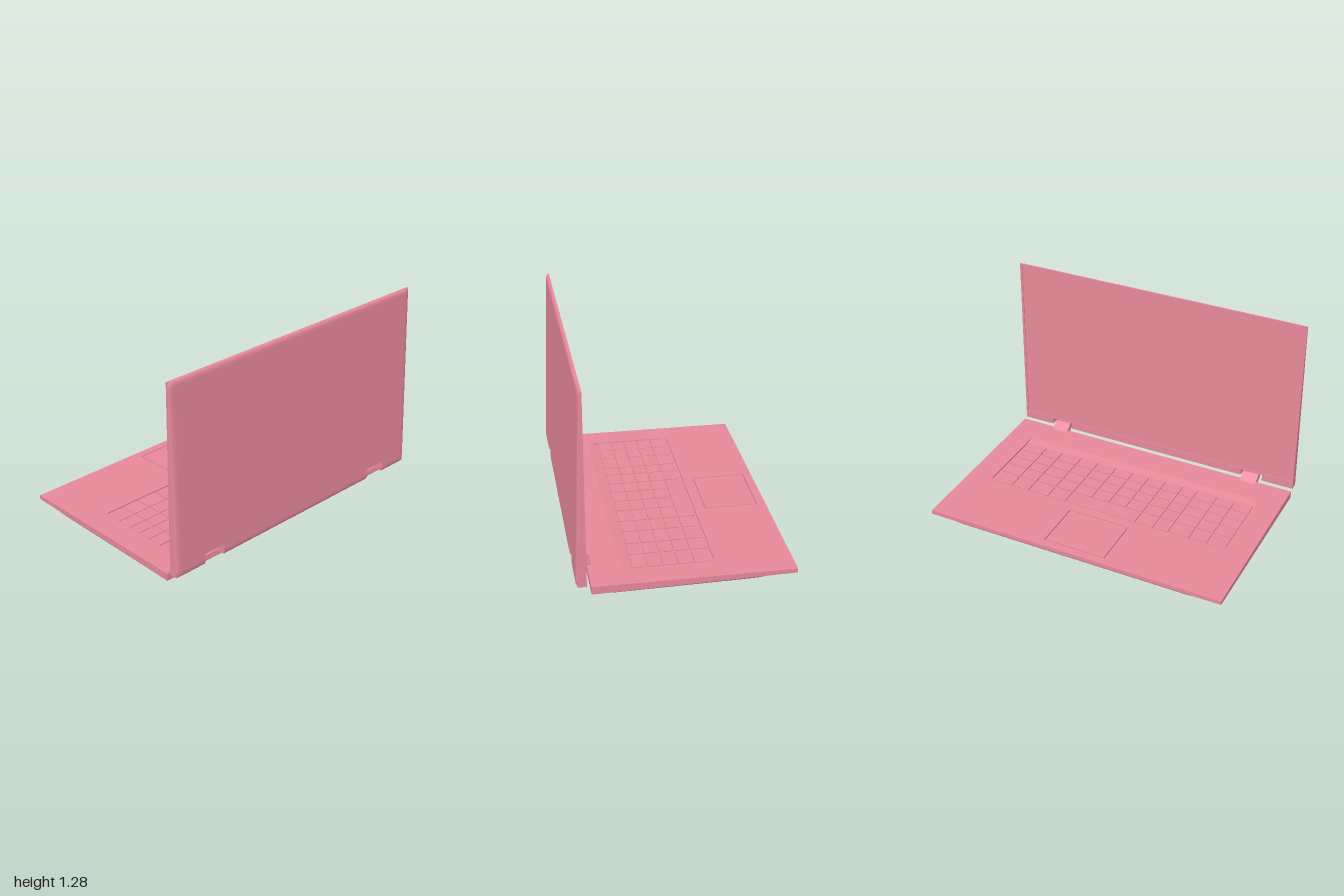
import * as THREE from 'three';

const material = new THREE.MeshStandardMaterial({ color: 0xe8899a, roughness: 0.7 });
const TOP = 0.07, FLOOR = 0.058;                  // deck surface, bottom of its recesses
const NOTCH = [0.635, 0.785], LID_BOTTOM = 0.075, LID_TOP = 1.28, SCREEN_Z = 0.59;

const lerp = THREE.MathUtils.lerp;
const near = (d, r) => Math.max(0, 1 - d / r);    // 1 on the edge, 0 beyond r
const round = (a, b) => 1 - Math.sqrt(Math.max(0, 1 - a * a - b * b));

function add(parent, name, geometry) {
  const mesh = new THREE.Mesh(geometry, material);
  mesh.name = name;
  parent.add(mesh);
  return mesh;
}

// Box between two corners whose vertices are then moved by a rule;
// grid lines bunch up toward the edges so roundings stay smooth
function shapedBox(min, max, segments, rule) {
  const g = new THREE.BoxGeometry(2, 2, 2, ...segments);
  const p = g.attributes.position, v = new THREE.Vector3();
  for (let i = 0; i < p.count; i++) {
    v.fromBufferAttribute(p, i);
    const c = v.toArray().map((u, k) => lerp(min[k], max[k], (Math.sin(u * Math.PI / 2) + 1) / 2));
    p.setXYZ(i, ...rule(c));
  }
  g.computeVertexNormals();
  return g;
}

const rect = (C, x0, x1, y0, y1) => new C([[x0, y0], [x1, y0], [x1, y1], [x0, y1]].map(a => new THREE.Vector2(...a)));

function roundedRect(x0, x1, y0, y1, r) {
  const s = new THREE.Path();
  s.absarc(x1 - r, y1 - r, r, 0, Math.PI / 2);
  s.absarc(x0 + r, y1 - r, r, Math.PI / 2, Math.PI);
  s.absarc(x0 + r, y0 + r, r, Math.PI, Math.PI * 1.5);
  s.absarc(x1 - r, y0 + r, r, Math.PI * 1.5, Math.PI * 2);
  s.closePath();
  return s;
}

// Flat plate from an x/z outline, extruded downward from y
function plate(shape, y, depth) {
  return new THREE.ExtrudeGeometry(shape, { depth, bevelEnabled: false, curveSegments: 6 })
    .rotateX(Math.PI / 2).translate(0, y, 0);
}

// Prism with a z/y section, running from x0 to x1
function prism(points, x0, x1) {
  const shape = new THREE.Shape(points.map(a => new THREE.Vector2(...a)));
  return new THREE.ExtrudeGeometry(shape, { depth: x1 - x0, bevelEnabled: false })
    .rotateY(-Math.PI / 2).translate(x1, 0, 0);
}

function makeBase() {
  const base = new THREE.Group();
  base.name = 'base';

  // Body with an underside curving up to the rim, higher toward the palm rest
  add(base, 'bodyShell', shapedBox([-1, 0, -0.65], [1, FLOOR, 0.56], [32, 1, 32], ([x, y, z]) => {
    if (y > 0.03) return [x, y, z];
    const rim = lerp(0.043, 0.02, (z + 0.65) / 1.21);
    const ez = Math.max(near(z + 0.65, 0.26), near(0.56 - z, 0.15));
    return [x, rim * round(near(1 - Math.abs(x), 0.2), ez), z];
  }));

  // Deck with openings for keyboard and trackpad
  const deck = rect(THREE.Shape, -1, 1, -0.65, 0.56);
  deck.holes.push(roundedRect(-0.838, 0.838, -0.19, 0.37, 0.03));
  deck.holes.push(rect(THREE.Path, -0.212, 0.208, -0.597, -0.253));
  add(base, 'deck', plate(deck, TOP, TOP - FLOOR));
  add(base, 'trackpad', plate(rect(THREE.Shape, -0.204, 0.2, -0.589, -0.261), TOP, TOP - FLOOR));

  // Ramp rising from the keys to the deck
  add(base, 'keyboardRamp', prism([[0.305, FLOOR], [0.37, FLOOR], [0.37, TOP]], -0.838, 0.838));
  return base;
}

function makeKeyboard() {
  const keyboard = new THREE.Group();
  keyboard.name = 'keyboard';
  const rows = [-0.185, -0.068, 0.03, 0.12, 0.21, 0.305];
  const columns = [-0.835, -0.71, -0.59, -0.45, -0.345, -0.22, -0.1, 0.02, 0.145, 0.28, 0.41, 0.555, 0.68, 0.83];
  for (let r = 0; r < rows.length - 1; r++) {
    // The row nearest the trackpad holds the space bar
    const xs = r ? columns : columns.filter(x => x <= -0.22 || x >= 0.28);
    for (let c = 0; c < xs.length - 1; c++) {
      const gap = xs[c] < -0.5 ? 0.006 : 0.009;
      const w = xs[c + 1] - xs[c], d = rows[r + 1] - rows[r];
      const name = w > 0.3 ? 'spaceBar' : 'key';
      add(keyboard, name, new THREE.BoxGeometry(w - gap, 0.009, d - gap))
        .position.set(xs[c] + w / 2, FLOOR + 0.0045, rows[r] + d / 2);
    }
  }
  return keyboard;
}

// Lid block: flat toward the screen, tapered and rounded on the outside
function lidBlock(x0, x1, y0, y1, segments) {
  return shapedBox([x0, y0, SCREEN_Z], [x1, y1, 0.65], segments, ([x, y, z]) => {
    if (z < 0.62) return [x, y, z];
    const t = (y - LID_BOTTOM) / (LID_TOP - LID_BOTTOM);
    const ey = Math.max(near(LID_TOP - y, 0.025), near(y - LID_BOTTOM, 0.04));
    const outer = lerp(0.65, 0.607, t) - 0.013 * round(near(1 - Math.abs(x), 0.035), ey);
    return [x, y, outer];
  });
}

function makeLid() {
  const lid = new THREE.Group();
  lid.name = 'lid';
  const [a, b] = NOTCH;
  add(lid, 'lidPanel', lidBlock(-1, 1, 0.145, LID_TOP, [36, 36, 1]));
  for (const [x0, x1] of [[-1, -b], [-a, a], [b, 1]])
    add(lid, 'lidLowerEdge', lidBlock(x0, x1, LID_BOTTOM, 0.145, [16, 12, 1]));

  // Sloping roofs of the hinge notches
  for (const [x0, x1] of [[-b, -a], [a, b]])
    add(lid, 'notchRoof', prism([[SCREEN_Z, 0.12], [0.647, 0.145], [SCREEN_Z, 0.145]], x0, x1));

  // Slim bezel around the recessed screen
  const outline = [[-1, LID_BOTTOM]];
  for (const [x0, x1] of [[-b, -a], [a, b]])
    outline.push([x0, LID_BOTTOM], [x0, 0.12], [x1, 0.12], [x1, LID_BOTTOM]);
  outline.push([1, LID_BOTTOM], [1, LID_TOP], [-1, LID_TOP]);
  const bezel = new THREE.Shape(outline.map(p => new THREE.Vector2(...p)));
  bezel.holes.push(rect(THREE.Path, -0.985, 0.985, 0.13, 1.262));
  add(lid, 'screenBezel', new THREE.ExtrudeGeometry(bezel, { depth: 0.005, bevelEnabled: false })
    .translate(0, 0, SCREEN_Z - 0.005));
  return lid;
}

export function createModel() {
  const model = new THREE.Group();
  model.name = 'laptop';
  model.add(makeBase(), makeKeyboard(), makeLid());

  // Slanted hinge arms joining base and lid
  const arm = [[0.53, 0.068], [0.56, 0.042], [0.622, 0.08], [0.618, 0.108], [0.59, 0.108]];
  for (const x of [-0.76, 0.65])
    add(model, 'hinge', prism(arm, x, x + 0.11));
  return model;
}
